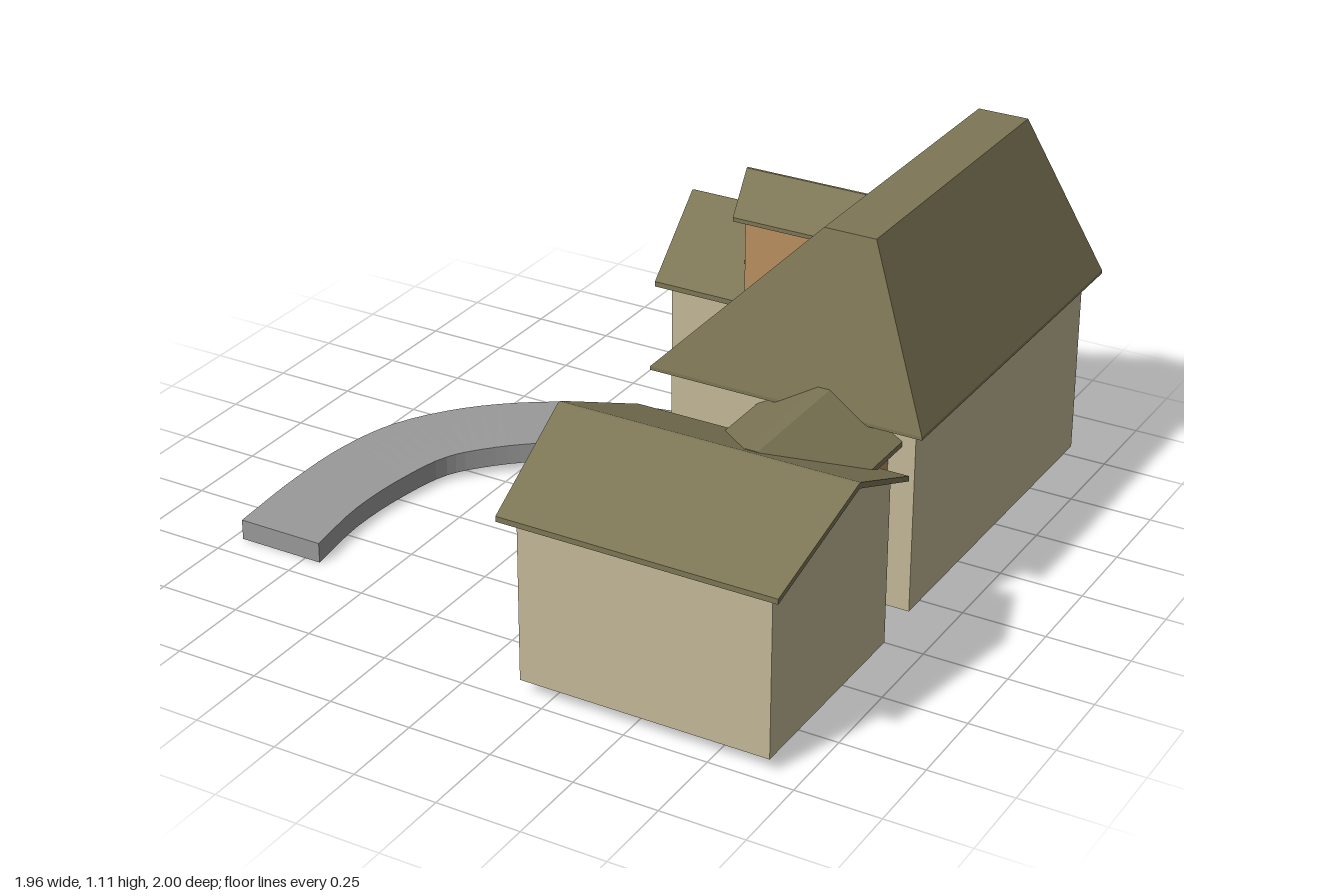
import * as THREE from 'three';
import { ConvexGeometry } from 'three/addons/geometries/ConvexGeometry.js';

const paint = (color) => new THREE.MeshStandardMaterial({ color, flatShading: true });
const WALL = paint(0xc4b898), ROOF = paint(0x7d7655), TIMBER = paint(0xb98f5e),
  TRIM = paint(0x8f7558), BRONZE = paint(0x6b6040), GLASS = paint(0x39434a),
  STONE = paint(0x999999), PANEL = paint(0x8c8c90);

function add(parent, name, geometry, material) {
  const mesh = new THREE.Mesh(geometry, material);
  mesh.name = name;
  parent.add(mesh);
  return mesh;
}

function box(parent, name, material, [x0, x1], [y0, y1], [z0, z1]) {
  const mesh = add(parent, name, new THREE.BoxGeometry(x1 - x0, y1 - y0, z1 - z0), material);
  mesh.position.set((x0 + x1) / 2, (y0 + y1) / 2, (z0 + z1) / 2);
  return mesh;
}

function hull(parent, name, material, points) {
  return add(parent, name, new ConvexGeometry(points.map((p) => new THREE.Vector3(...p))), material);
}

// Gabled block with its ridge along local x and centred on local z = 0
function gabledBlock(name, o) {
  const group = new THREE.Group();
  group.name = name;
  const { wallX, wallHalf, base, eaveX, ridgeX, roofHalf, eaveY, ridgeY, cap = 0.004, wall = WALL, thick = 0.016 } = o;
  const slope = (ridgeY - eaveY) / (roofHalf - cap);
  const wallTop = eaveY + slope * (roofHalf - wallHalf) - thick * 0.7;
  const section = [[base, -wallHalf], [base, wallHalf], [wallTop, wallHalf],
    [ridgeY - thick * 0.7, cap], [ridgeY - thick * 0.7, -cap], [wallTop, -wallHalf]];
  hull(group, 'walls', wall, wallX.flatMap((x) => section.map(([y, z]) => [x, y, z])));
  for (const s of [-1, 1]) {
    const pts = [];
    for (const dy of [0, -thick]) {
      for (const x of eaveX) pts.push([x, eaveY + dy, s * roofHalf]);
      for (const x of ridgeX) pts.push([x, ridgeY + dy, s * cap], [x, ridgeY + dy, 0]);
    }
    hull(group, 'roofSlope', ROOF, pts);
  }
  return group;
}

// Rectangular frame on a wall that faces -x
function frame(parent, material, x, depth, [y0, y1], [z0, z1], w) {
  const xs = [x - depth, x + 0.005];
  box(parent, 'frameTop', material, xs, [y1 - w, y1], [z0, z1]);
  box(parent, 'frameBottom', material, xs, [y0, y0 + w], [z0, z1]);
  for (const z of [z0, z1 - w]) box(parent, 'frameSide', material, xs, [y0 + w, y1 - w], [z, z + w]);
}

function windowUnit(name, x, ys, zs, w = 0.016) {
  const group = new THREE.Group();
  group.name = name;
  const ym = (ys[0] + ys[1]) / 2, zm = (zs[0] + zs[1]) / 2;
  frame(group, TRIM, x, 0.016, ys, zs, w);
  box(group, 'glass', GLASS, [x - 0.004, x + 0.004], ys, zs);
  box(group, 'crossBar', TRIM, [x - 0.01, x], [ym - 0.004, ym + 0.004], zs);
  box(group, 'uprightBar', TRIM, [x - 0.01, x], ys, [zm - 0.004, zm + 0.004]);
  box(group, 'sill', TRIM, [x - 0.022, x], [ys[0] - 0.008, ys[0] + 0.004], [zs[0] - 0.008, zs[1] + 0.008]);
  return group;
}

// Curved path rising gently to the porch
function pathGeometry() {
  const curve = (pts) => new THREE.CatmullRomCurve3(pts.map(([x, z]) => new THREE.Vector3(x, 0, z)));
  const outer = curve([[-0.97, 0.67], [-0.98, 0.4], [-0.965, 0.17], [-0.91, -0.02], [-0.78, -0.2],
    [-0.6, -0.34], [-0.4, -0.43], [-0.2, -0.48], [-0.06, -0.49]]);
  const inner = curve([[-0.7, 0.67], [-0.72, 0.45], [-0.7, 0.24], [-0.655, 0.08], [-0.58, -0.01],
    [-0.47, -0.1], [-0.34, -0.17], [-0.2, -0.215], [-0.06, -0.23]]);
  const steps = 32, pos = [], index = [];
  for (let i = 0; i <= steps; i++) {
    const t = i / steps, a = outer.getPoint(t), b = inner.getPoint(t), y = 0.045 * t;
    pos.push(a.x, y, a.z, a.x, y + 0.062, a.z, b.x, y + 0.062, b.z, b.x, y, b.z);
    if (i === steps) break;
    for (let k = 0; k < 4; k++) {
      const p = i * 4 + k, q = i * 4 + (k + 1) % 4;
      index.push(p, q, p + 4, q, q + 4, p + 4);
    }
  }
  const e = steps * 4;
  index.push(0, 2, 1, 0, 3, 2, e, e + 1, e + 2, e, e + 2, e + 3);
  const g = new THREE.BufferGeometry();
  g.setAttribute('position', new THREE.Float32BufferAttribute(pos, 3));
  g.setIndex(index);
  const flat = g.toNonIndexed();
  flat.computeVertexNormals();
  return flat;
}

export function createModel() {
  const model = new THREE.Group();
  model.name = 'house';

  // Main house with a hipped roof and narrow flat top
  box(model, 'mainWalls', WALL, [0.16, 0.91], [0.06, 0.63], [-0.95, 0.16]);
  const mainRoof = [];
  for (const y of [0.622, 0.632]) for (const x of [0.12, 0.95]) for (const z of [-1, 0.21]) mainRoof.push([x, y, z]);
  for (const x of [0.585, 0.74]) for (const z of [-0.88, 0.09]) mainRoof.push([x, 1.11, z]);
  hull(model, 'mainRoof', ROOF, mainRoof);
  model.add(windowUnit('mainWindow', 0.16, [0.21, 0.45], [-0.08, 0.1]));

  // Garage
  const garage = gabledBlock('garage', {
    wallX: [0.16, 0.91], wallHalf: 0.327, base: 0.04,
    eaveX: [0.12, 0.945], ridgeX: [0.09, 0.98], roofHalf: 0.365, eaveY: 0.543, ridgeY: 0.705,
  });
  garage.position.z = 0.635;
  frame(garage, BRONZE, 0.16, 0.018, [0.05, 0.54], [-0.26, 0.26], 0.035);
  box(garage, 'garageDoor', PANEL, [0.153, 0.17], [0.06, 0.52], [-0.235, 0.235]);
  model.add(garage);

  // Link between garage and main house, ridge running front to back
  const link = gabledBlock('link', {
    wallX: [-0.36, 0], wallHalf: 0.18, base: 0.065, wall: TIMBER,
    eaveX: [-0.45, 0.03], ridgeX: [-0.45, 0.03], roofHalf: 0.22, eaveY: 0.575, ridgeY: 0.693, cap: 0.018,
  });
  link.rotation.y = Math.PI / 2;
  link.position.set(0.65, 0, 0.15);
  model.add(link);

  // Side wing
  const wing = gabledBlock('wing', {
    wallX: [-0.165, 0.635], wallHalf: 0.25, base: 0.05,
    eaveX: [-0.2, 0.2], ridgeX: [-0.237, 0.3], roofHalf: 0.29, eaveY: 0.58, ridgeY: 0.758,
  });
  wing.position.z = -0.66;
  wing.add(windowUnit('wingWindow', -0.165, [0.21, 0.45], [-0.07, 0.11]));
  model.add(wing);

  // Dormer set into the main roof
  const dormer = gabledBlock('dormer', {
    wallX: [0.26, 0.56], wallHalf: 0.1, base: 0.77, wall: TIMBER,
    eaveX: [0.235, 0.5], ridgeX: [0.21, 0.6], roofHalf: 0.127, eaveY: 1.008, ridgeY: 1.105, thick: 0.012,
  });
  // Taper the walls so they stay inside the main roof
  const p = dormer.children[0].geometry.attributes.position;
  for (let i = 0; i < p.count; i++) {
    if (p.getX(i) > 0.5 && p.getY(i) > 1) p.setX(i, 0.49);
  }
  dormer.children[0].geometry.computeVertexNormals();
  dormer.position.z = -0.173;
  dormer.add(windowUnit('dormerWindow', 0.26, [0.85, 1.01], [-0.055, 0.055], 0.012));
  model.add(dormer);

  // Front door with trim
  const door = new THREE.Group();
  door.name = 'frontDoor';
  box(door, 'doorPanel', TIMBER, [-0.035, 0.125], [0.06, 0.385], [-0.415, -0.4]);
  box(door, 'doorHead', TRIM, [-0.045, 0.135], [0.38, 0.392], [-0.415, -0.39]);
  for (const x of [-0.042, 0.122]) box(door, 'doorJamb', TRIM, [x, x + 0.01], [0.05, 0.385], [-0.415, -0.392]);
  model.add(door);

  // Porch and path
  box(model, 'porch', STONE, [-0.06, 0.17], [0.07, 0.115], [-0.42, -0.23]);
  add(model, 'path', pathGeometry(), STONE);
  return model;
}
